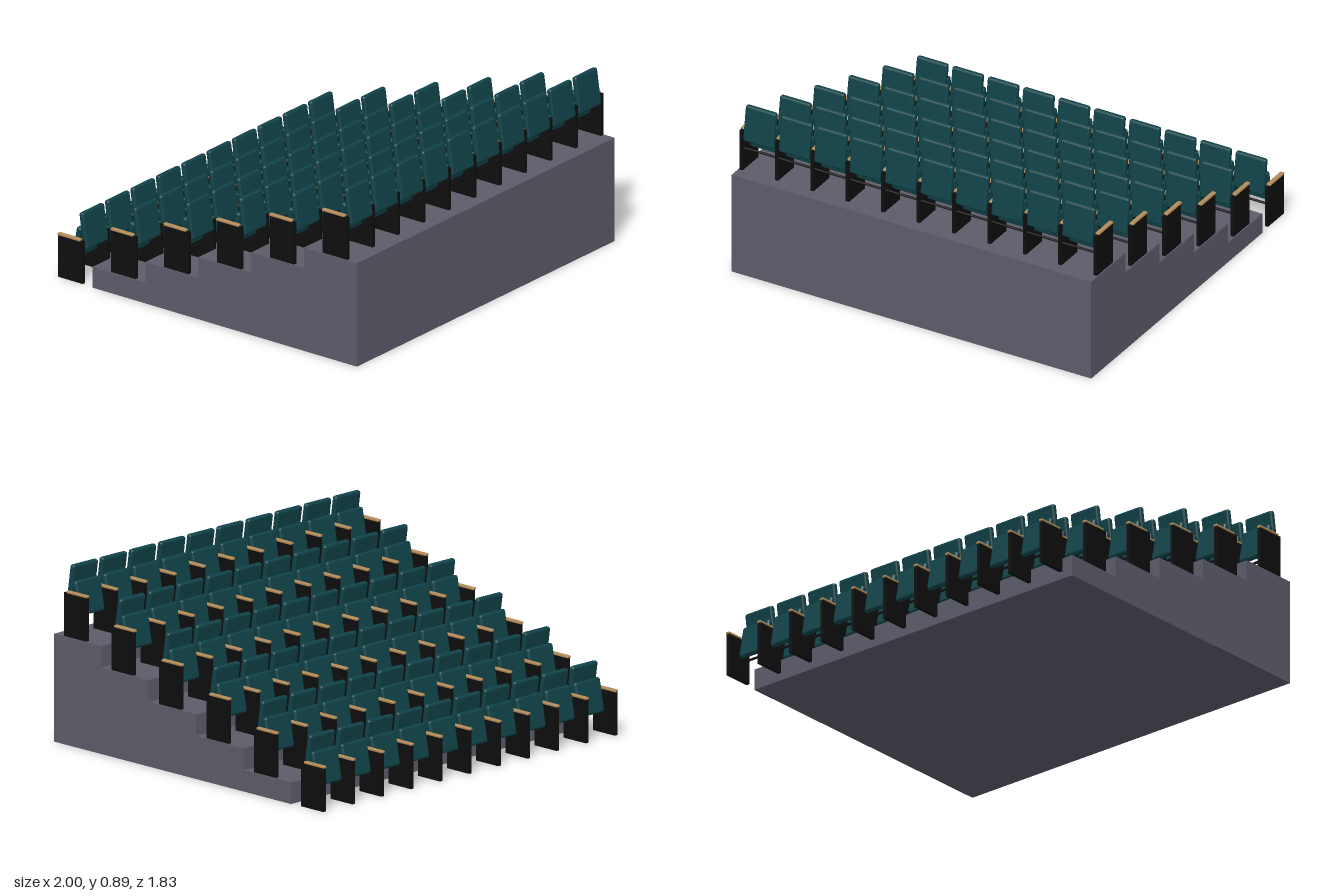
import * as THREE from 'three';
import { RoundedBoxGeometry } from 'three/addons/geometries/RoundedBoxGeometry.js';

const ROWS = 6, SEATS = 10;
const PITCH = 0.197;          // seat spacing along x
const DEPTH = 0.3215;         // tread depth
const RISE = 0.107;           // step height
const BACK = 0.912;           // rear edge of the platform

function material(name, color) {
  const m = new THREE.MeshStandardMaterial({ color });
  m.name = name;
  return m;
}

export function createModel() {
  const concrete = material('grey concrete', 0x5b5c69);
  const fabric = material('teal fabric', 0x0f4248);
  const black = material('black metal', 0x0e0e0e);
  const wood = material('light wood', 0xb38b58);

  const model = new THREE.Group();
  model.name = 'tieredSeating';

  function add(parent, name, geometry, mat, x, y, z, tilt = 0) {
    const mesh = new THREE.Mesh(geometry, mat);
    mesh.name = name;
    mesh.position.set(x, y, z);
    mesh.rotation.x = tilt;
    parent.add(mesh);
  }

  // Stepped platform: side profile drawn as (z, y), extruded across x
  const profile = new THREE.Shape();
  profile.moveTo(BACK, 0);
  for (let i = 0; i < ROWS - 1; i++) {
    const y = RISE * (ROWS - 1 - i);
    profile.lineTo(BACK - i * DEPTH, y);
    profile.lineTo(BACK - (i + 1) * DEPTH, y);
  }
  profile.lineTo(BACK - (ROWS - 1) * DEPTH, 0);
  const steps = new THREE.ExtrudeGeometry(profile, { depth: 2, bevelEnabled: false });
  steps.rotateY(-Math.PI / 2).translate(1, 0, 0);
  add(model, 'steppedPlatform', steps, concrete, 0, 0, 0);

  // Shared seat parts
  const backrest = new RoundedBoxGeometry(0.17, 0.188, 0.029, 2, 0.012);
  const cushion = new RoundedBoxGeometry(0.17, 0.17, 0.03, 2, 0.012);
  const panel = new THREE.BoxGeometry(0.018, 0.217, 0.149);
  const armrest = new RoundedBoxGeometry(0.023, 0.013, 0.137, 2, 0.005);
  const rod = new THREE.CylinderGeometry(0.006, 0.006, PITCH * SEATS, 10).rotateZ(Math.PI / 2);

  // Rows, the last one standing on the ground before the platform
  for (let r = 0; r < ROWS; r++) {
    const row = new THREE.Group();
    row.name = 'seatRow' + (r + 1);
    row.position.set(0, RISE * (ROWS - 1 - r), BACK - r * DEPTH);
    model.add(row);

    for (let i = 0; i <= SEATS; i++) {
      const x = (i - SEATS / 2) * PITCH;
      add(row, 'sidePanel', panel, black, x, 0.1085, -0.138);
      add(row, 'armrest', armrest, wood, x, 0.2205, -0.149);
      if (i === SEATS) continue;
      add(row, 'backrest', backrest, fabric, x + PITCH / 2, 0.26, -0.08, -0.145);
      add(row, 'foldedSeat', cushion, fabric, x + PITCH / 2, 0.19, -0.122, 0.19);
    }
    add(row, 'hingeRod', rod, black, 0, 0.118, -0.078);
  }
  return model;
}
